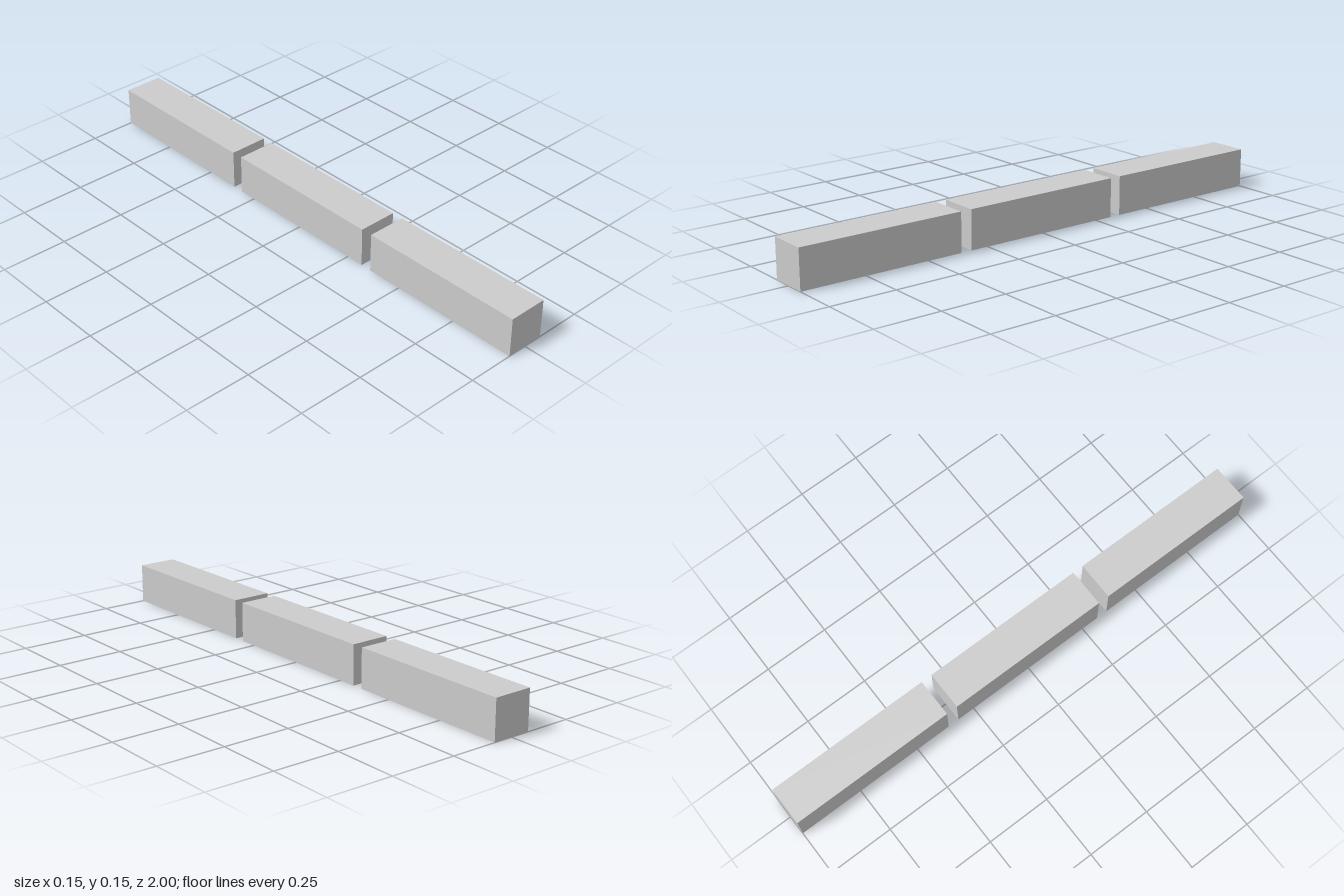
import * as THREE from 'three';

export function createModel() {
  const group = new THREE.Group();
  const material = new THREE.MeshStandardMaterial({ color: 0xcccccc, flatShading: true });

  // Three equal square bars in a row along z, with narrow gaps between them
  const thickness = 0.149, length = 0.638, gap = 0.043;
  const geometry = new THREE.BoxGeometry(thickness, thickness, length);

  ['backBar', 'middleBar', 'frontBar'].forEach((name, i) => {
    const bar = new THREE.Mesh(geometry, material);
    bar.name = name;
    bar.position.set(0, thickness / 2, (i - 1) * (length + gap));
    group.add(bar);
  });

  return group;
}
